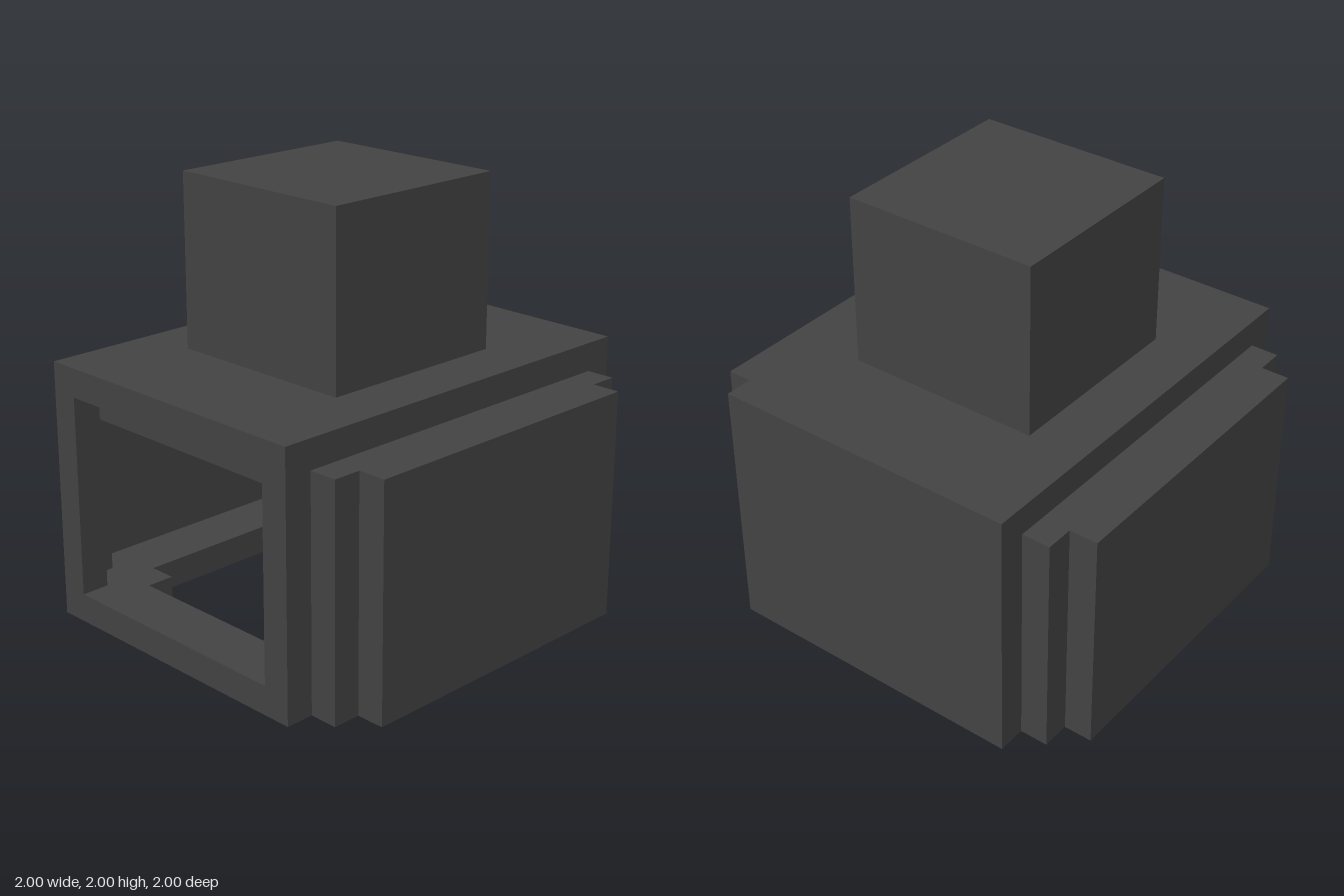
import * as THREE from 'three';

const U = 2 / 15; // grid unit

// Closed stepped outline from [x, z] corners of the +x half, mirrored to -x
function outline(half, PathType) {
  const pts = [...half, ...half.map(([x, z]) => [-x, z]).reverse()];
  return new PathType(pts.map(([x, z]) => new THREE.Vector2(x * U, -z * U)));
}

export function createModel() {
  const group = new THREE.Group();
  const charcoal = new THREE.MeshStandardMaterial({ color: 0x444444 });
  charcoal.name = 'charcoal';

  const add = (name, geometry) => {
    const mesh = new THREE.Mesh(geometry, charcoal);
    mesh.name = name;
    group.add(mesh);
  };
  // Box given by its limits in grid units
  const box = (name, x0, x1, y0, y1, z0, z1) => {
    const g = new THREE.BoxGeometry((x1 - x0) * U, (y1 - y0) * U, (z1 - z0) * U);
    g.translate((x0 + x1) * U / 2, (y0 + y1) * U / 2, (z0 + z1) * U / 2);
    add(name, g);
  };
  // Horizontal layer one unit thick
  const layer = (name, shape, y) => {
    const g = new THREE.ExtrudeGeometry(shape, { depth: U, bevelEnabled: false });
    g.rotateX(-Math.PI / 2);
    g.translate(0, y * U, 0);
    add(name, g);
  };

  // Stepped footprint, listed from front to back
  const steps = [[5.5, 7.5], [5.5, 6.5], [6.5, 6.5], [6.5, 5.5], [7.5, 5.5],
    [7.5, -5.5], [6.5, -5.5], [6.5, -6.5], [5.5, -6.5], [5.5, -7.5]];

  // Floor with a stepped opening
  const floor = outline(steps, THREE.Shape);
  floor.holes.push(outline([[3.5, 5.5], [3.5, 4.5], [4.5, 4.5], [4.5, -3.5],
    [3.5, -3.5], [3.5, -4.5]], THREE.Path));
  layer('floor', floor, 0);

  // Ceiling, notched above the front opening
  layer('ceiling', outline([[4.5, 6.5], [4.5, 7.5], ...steps], THREE.Shape), 7);

  // Walls, front jambs and corner posts
  box('backWall', -5.5, 5.5, 1, 7, -7.5, -6.5);
  for (const [side, s] of [['left', 1], ['right', -1]]) {
    const sideBox = (name, a, b, z0, z1) =>
      box(side + name, Math.min(a * s, b * s), Math.max(a * s, b * s), 1, 7, z0, z1);
    sideBox('Wall', 6.5, 7.5, -5.5, 5.5);
    sideBox('FrontJamb', 4.5, 5.5, 6.5, 7.5);
    sideBox('FrontPost', 5.5, 6.5, 5.5, 6.5);
    sideBox('BackPost', 5.5, 6.5, -6.5, -5.5);
  }

  // Roof slab and the block on top
  box('roof', -5.5, 5.5, 8, 9, -7.5, 7.5);
  box('topBlock', -3.5, 3.5, 9, 15, -3.5, 3.5);

  return group;
}
